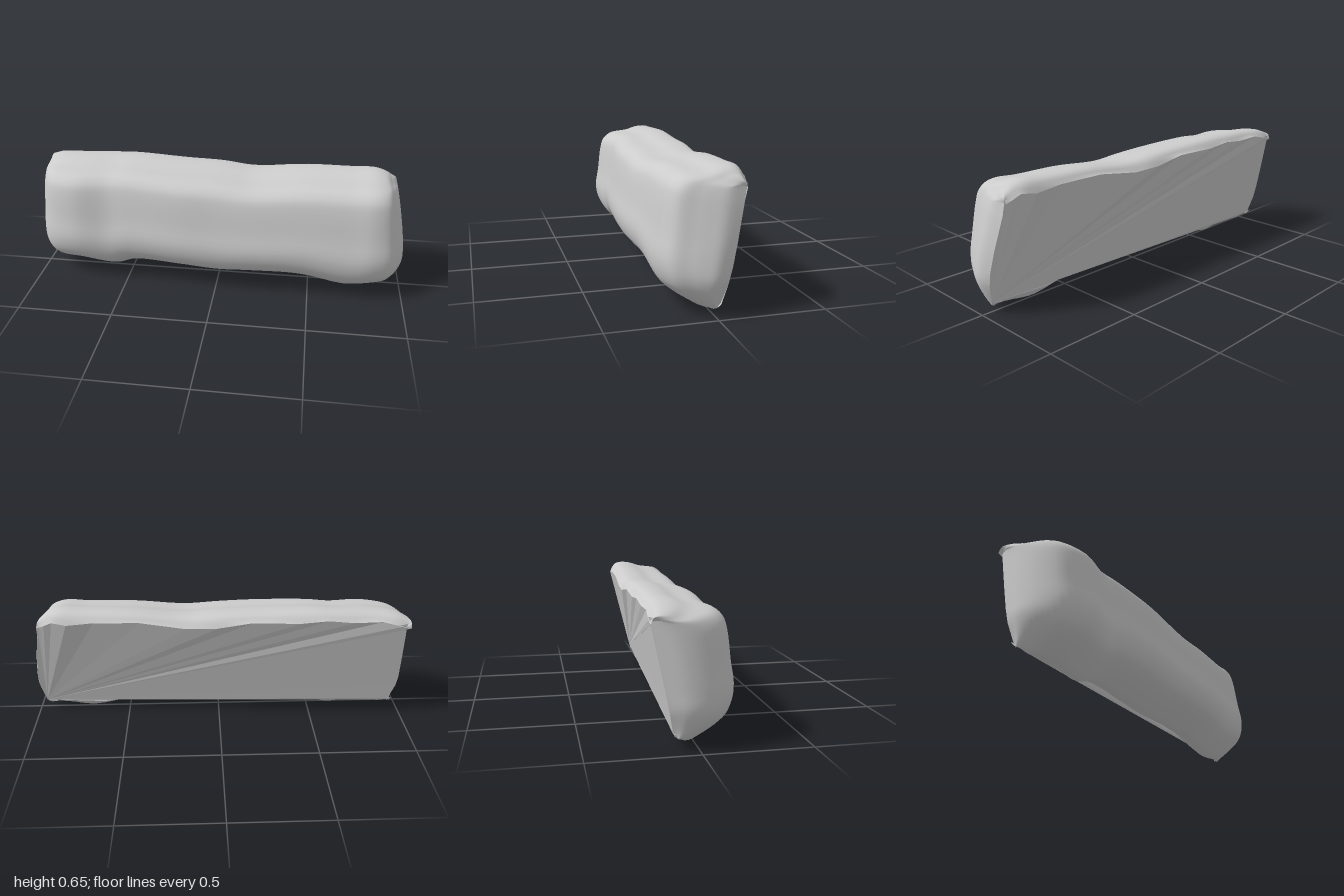
import * as THREE from 'three';

// Cross-section from the lower back edge, round the front, to the upper back edge:
// [height fraction, z at mid-length]
const PROFILE = [
  [0.05, -0.042], [0, 0.01], [0.05, 0.08], [0.17, 0.182], [0.26, 0.212], [0.38, 0.222], [0.55, 0.203],
  [0.8, 0.178], [0.88, 0.158], [0.94, 0.11], [0.965, 0], [1, -0.08], [0.995, -0.16], [0.93, -0.2],
];

// Stations along the length: [x, bottom y, top y, fullness, upper back z, lower back z]
const STATIONS = [
  [-0.97, 0.055, 0.61, 0.0, -0.218, -0.11],
  [-1.0, 0.055, 0.6, 0.3, -0.218, -0.11],
  [-0.985, 0.05, 0.6, 0.6, -0.218, -0.1],
  [-0.92, 0.03, 0.62, 0.87, -0.22, -0.085],
  [-0.77, 0.035, 0.63, 0.97, -0.21, -0.065],
  [-0.6, 0.012, 0.635, 0.92, -0.215, -0.055],
  [-0.48, 0.05, 0.64, 0.93, -0.21, -0.05],
  [-0.2, 0.045, 0.63, 0.99, -0.2, -0.045],
  [0, 0.035, 0.623, 0.99, -0.2, -0.035],
  [0.18, 0.045, 0.608, 0.98, -0.19, -0.03],
  [0.45, 0.045, 0.632, 0.96, -0.185, -0.025],
  [0.7, 0, 0.638, 0.94, -0.175, -0.02],
  [0.83, 0.015, 0.643, 0.92, -0.165, -0.018],
  [0.92, 0.025, 0.628, 0.8, -0.15, -0.018],
  [0.96, 0.03, 0.61, 0.58, -0.145, -0.018],
  [0.985, 0.03, 0.6, 0.4, -0.14, -0.018],
  [1.0, 0.03, 0.6, 0.22, -0.14, -0.018],
  [0.985, 0.03, 0.6, 0.0, -0.14, -0.018],
];

const ALONG = 76, ROUND = 44, CHIP = 4;

const backZ = (v, top, bottom) => bottom + (top - bottom) * Math.min(v / 0.93, 1);

// Ends are rounded off towards the top and bottom corners
function endInset(x, v) {
  const t = v > 0.28 ? (v - 0.28) / 0.72 : (0.28 - v) / 0.28;
  const corner = v < 0.28 ? 0.055 : x < 0 ? 0.02 : 0.07;
  return Math.sign(x) * corner * Math.pow(t, 1.5) * Math.max(0, (Math.abs(x) - 0.8) / 0.2);
}

function stationPoint([x, y0, y1, full, top, bottom], [v, z]) {
  const depth = Math.max(0, z - backZ(v, -0.2, -0.035));
  // The lips over the back face die away where the ends close
  const rest = THREE.MathUtils.clamp(v, 0.05, 0.93);
  const u = rest + (v - rest) * Math.min(1, full * 2.5);
  return new THREE.Vector3(x - endInset(x, u), y0 + (y1 - y0) * u, backZ(u, top, bottom) + depth * full);
}

// Spline through a row of points, sampled evenly by control point
function resample(points, n) {
  const curve = new THREE.CatmullRomCurve3(points, false, 'centripetal');
  return Array.from({ length: n + 1 }, (_, i) => curve.getPoint(i / n));
}

// Straight runs between every CHIP-th point
function straighten(row) {
  row.forEach((p, i) => {
    const start = i - (i % CHIP);
    if (i !== start) p.lerpVectors(row[start], row[start + CHIP], (i - start) / CHIP);
  });
}

function buildGrid() {
  const sections = STATIONS.map((s) => resample(PROFILE.map((p) => stationPoint(s, p)), ROUND));
  const lines = Array.from({ length: ROUND + 1 }, (_, j) => resample(sections.map((s) => s[j]), ALONG));
  // Chipped, angular rim where the skin meets the back
  let seed = 7;
  const rand = () => ((seed = (seed * 16807) % 2147483647) / 2147483647) - 0.5;
  for (const row of [lines[0], lines[ROUND]]) {
    for (let i = 4 * CHIP; i <= ALONG - 4 * CHIP; i += CHIP) {
      row[i].y += rand() * 0.03;
      row[i].z += rand() * 0.01;
    }
    straighten(row);
  }
  for (const i of [0, ALONG]) straighten(lines.map((l) => l[i]));
  return lines;
}

// Smooth rounded skin over the front, top, underside and ends
function skinGeometry(lines) {
  const index = [];
  const w = ALONG + 1;
  for (let j = 0; j < ROUND; j++) {
    for (let i = 0; i < ALONG; i++) {
      const a = j * w + i;
      index.push(a, a + 1, a + w, a + 1, a + w + 1, a + w);
    }
  }
  const geometry = new THREE.BufferGeometry().setFromPoints(lines.flat());
  geometry.setIndex(index);
  geometry.computeVertexNormals();
  return geometry;
}

// Broken back face: a fan of broad facets spreading from the lower left corner
function backGeometry(lines) {
  const corners = (row) => row.filter((_, i) => i % CHIP === 0);
  const loop = [
    ...corners(lines[0]),
    ...corners(lines.map((l) => l[ALONG])),
    ...corners(lines[ROUND]).reverse(),
    ...corners(lines.map((l) => l[0])).reverse(),
  ];
  const apex = lines[0][ALONG - CHIP];
  const points = [];
  loop.forEach((p, i) => points.push(apex, loop[(i + 1) % loop.length], p));
  const geometry = new THREE.BufferGeometry().setFromPoints(points);
  geometry.computeVertexNormals();
  return geometry;
}

export function createModel() {
  const group = new THREE.Group();
  group.name = 'roundedBar';
  const lines = buildGrid();
  const add = (name, geometry, flatShading) => {
    const material = new THREE.MeshStandardMaterial({ color: 0xcccccc, flatShading, side: THREE.DoubleSide });
    const mesh = new THREE.Mesh(geometry, material);
    mesh.name = name;
    group.add(mesh);
  };
  add('roundedSkin', skinGeometry(lines), false);
  add('flatBack', backGeometry(lines), true);
  return group;
}
